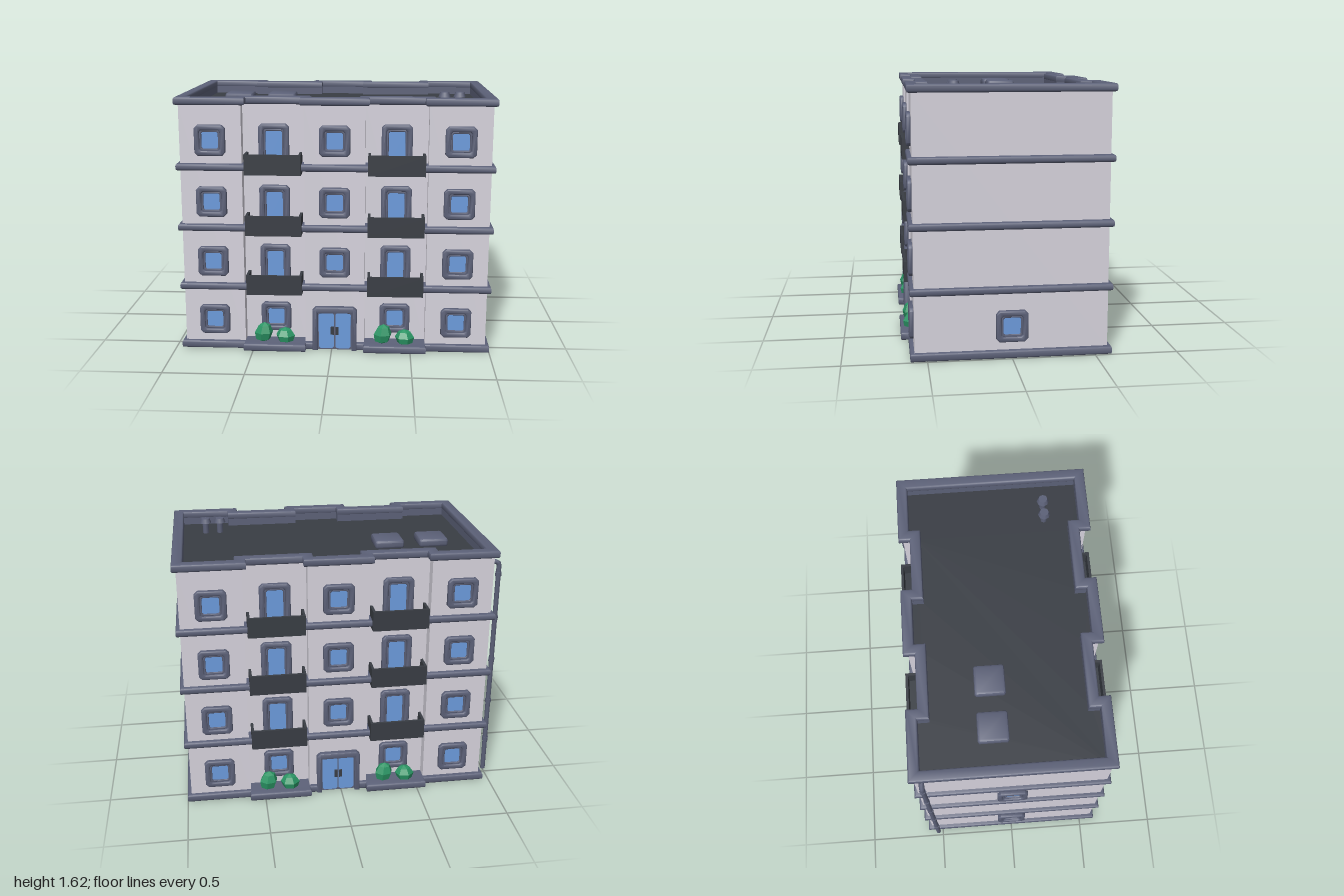
import * as THREE from 'three';
import { toCreasedNormals } from 'three/addons/utils/BufferGeometryUtils.js';

const material = (name, color) => Object.assign(new THREE.MeshStandardMaterial({ color }), { name });
const WALL = material('plaster', 0xd6d3dd);
const TRIM = material('slate trim', 0x5c6178);
const DARK = material('dark metal', 0x393d44);
const GLASS = material('blue glass', 0x6c9bdc);
const LEAF = material('leaf green', 0x2a9464);

const BAY = 0.38;                       // distance of the balcony bays from the middle
const FLOORS = [0.195, 0.58, 0.963, 1.347];  // window centres

function add(parent, name, geometry, mat, x = 0, y = 0, z = 0) {
  const mesh = new THREE.Mesh(geometry, mat);
  mesh.name = name;
  mesh.position.set(x, y, z);
  parent.add(mesh);
  return mesh;
}

const box = (w, h, d) => new THREE.BoxGeometry(w, h, d);

// Bevelled extrusion that keeps the given outline as its outer size
function extrude(points, hole, depth, bevel = 0) {
  const shape = new THREE.Shape(points);
  if (hole) shape.holes.push(new THREE.Path(hole));
  const geo = new THREE.ExtrudeGeometry(shape, {
    depth: depth - 2 * bevel, bevelEnabled: bevel > 0,
    bevelSize: bevel, bevelThickness: bevel, bevelOffset: -bevel, bevelSegments: 2,
  });
  geo.translate(0, 0, bevel);
  return toCreasedNormals(geo, 0.85);
}

// Same, laid flat so that the depth runs up
const slab = (points, hole, height, bevel) => extrude(points, hole, height, bevel).rotateX(-Math.PI / 2);

// Floor plan: a rectangle whose long sides step in or out; steps = [centre, halfWidth, z]
function plan(halfX, halfZ, steps) {
  const side = [new THREE.Vector2(-halfX, -halfZ)];
  for (const [c, w, z] of steps) {
    side.push(new THREE.Vector2(c - w, -halfZ), new THREE.Vector2(c - w, -z),
      new THREE.Vector2(c + w, -z), new THREE.Vector2(c + w, -halfZ));
  }
  side.push(new THREE.Vector2(halfX, -halfZ));
  return [...side, ...side.map(p => p.clone().negate())];
}

// Building outline with recessed bays, grown by an offset
const outline = o => plan(0.955 + o, 0.575 + o,
  [-BAY, BAY].map(c => [c, 0.1925 - o, 0.505 + o]));

// Rectangle with cut corners
function chamfered(w, h, c) {
  const a = w / 2, b = h / 2;
  return [[-a + c, -b], [a - c, -b], [a, -b + c], [a, b - c], [a - c, b], [-a + c, b], [-a, b - c], [-a, -b + c]]
    .map(p => new THREE.Vector2(...p));
}

// Framed window facing +z
function makeWindow(name, w, h) {
  const g = new THREE.Group();
  g.name = name;
  add(g, 'outerFrame', extrude(chamfered(w, h, 0.02), chamfered(w - 0.065, h - 0.065, 0.01), 0.035, 0.009), TRIM, 0, 0, -0.009);
  add(g, 'innerFrame', extrude(chamfered(w - 0.06, h - 0.06, 0.008), chamfered(w - 0.088, h - 0.088, 0.008), 0.02, 0.004), TRIM, 0, 0, -0.007);
  add(g, 'glass', box(w - 0.075, h - 0.075, 0.008), GLASS);
  return g;
}

function makeBalcony() {
  const g = new THREE.Group();
  g.name = 'balcony';
  add(g, 'balconyFloor', box(0.35, 0.025, 0.125), DARK, 0, 0.0125, 0.5575);
  add(g, 'balconyFront', box(0.35, 0.127, 0.016), DARK, 0, 0.0635, 0.612);
  for (const s of [-1, 1]) add(g, 'balconySide', box(0.016, 0.127, 0.115), DARK, s * 0.167, 0.0635, 0.5575);
  return g;
}

function makeDoor() {
  const g = new THREE.Group();
  g.name = 'entrance';
  const arch = [[-0.14, 0], [-0.108, 0], [-0.108, 0.25], [0.108, 0.25], [0.108, 0], [0.14, 0],
    [0.14, 0.268], [0.118, 0.29], [-0.118, 0.29], [-0.14, 0.268]].map(p => new THREE.Vector2(...p));
  add(g, 'doorFrame', extrude(arch, null, 0.055, 0.008), TRIM, 0, 0, 0.555);
  add(g, 'doorBacking', box(0.22, 0.26, 0.02), TRIM, 0, 0.13, 0.57);
  for (const s of [-1, 1]) {
    add(g, 'doorGlass', extrude(chamfered(0.098, 0.235, 0.012), null, 0.006), GLASS, s * 0.053, 0.127, 0.58);
    add(g, 'doorHandle', box(0.02, 0.05, 0.014), DARK, s * 0.015, 0.13, 0.59);
  }
  return g;
}

// Faceted shrub that is wider near its foot
function makeBush(w, h, turn) {
  const geo = new THREE.SphereGeometry(0.5, 6, 4).toNonIndexed();
  const p = geo.attributes.position;
  for (let i = 0; i < p.count; i++) {
    const y = p.getY(i), k = 1.08 - 0.3 * y;
    p.setXYZ(i, p.getX(i) * k + 0.12 * y, y, p.getZ(i) * k);
  }
  geo.rotateY(turn).scale(w, h, w * 0.85);
  geo.computeVertexNormals();
  return geo;
}

// Everything on one long side, facing +z
function makeFacade(name) {
  const g = new THREE.Group();
  g.name = name;
  FLOORS.forEach((y, i) => {
    for (const x of [-0.765, 0, 0.765]) {
      if (x === 0 && i === 0) continue;
      const win = makeWindow('window', 0.19, 0.19);
      win.position.set(x, y, 0.575);
      g.add(win);
    }
    for (const x of [-BAY, BAY]) {
      const h = i ? 0.3 : 0.19;
      const win = makeWindow(i ? 'balconyDoor' : 'bayWindow', 0.19, h);
      win.position.set(x, y + 0.095 - h / 2, 0.505);
      g.add(win);
      if (i) {
        const balcony = makeBalcony();
        balcony.position.set(x, y - 0.209, 0);
        g.add(balcony);
      }
    }
  });
  g.add(makeDoor());
  for (const x of [-BAY, BAY]) {
    add(g, 'tallBush', makeBush(0.11, 0.13, 0.3), LEAF, x - 0.075, 0.11, 0.578);
    add(g, 'lowBush', makeBush(0.115, 0.1, 1.9), LEAF, x + 0.065, 0.092, 0.578);
  }
  return g;
}

function makeDrainpipe() {
  const g = new THREE.Group();
  g.name = 'drainpipe';
  const path = new THREE.CurvePath();
  const v = (x, y) => new THREE.Vector3(x, y, -0.53);
  path.add(new THREE.LineCurve3(v(-1, 0.05), v(-1, 1.49)));
  path.add(new THREE.QuadraticBezierCurve3(v(-1, 1.49), v(-1, 1.52), v(-0.975, 1.52)));
  path.add(new THREE.LineCurve3(v(-0.975, 1.52), v(-0.94, 1.52)));
  add(g, 'pipe', new THREE.TubeGeometry(path, 80, 0.016, 8), TRIM);
  for (const y of [0.28, 0.565, 0.86, 1.15, 1.44])
    add(g, 'pipeCollar', new THREE.CylinderGeometry(0.02, 0.02, 0.025, 8), TRIM, -1, y, -0.53);
  return g;
}

export function createModel() {
  const model = new THREE.Group();
  model.name = 'apartmentBlock';
  const body = new THREE.Group();
  body.name = 'building';
  body.position.x = 0.02;
  model.add(body);

  // Shell, plinth with planters, floor bands and roof edge
  const plinth = plan(0.98, 0.6, [[-BAY, 0.198, 0.645], [0, 0.125, 0.565], [BAY, 0.198, 0.645]]);
  add(body, 'plinth', slab(plinth, null, 0.05, 0.012), TRIM);
  add(body, 'walls', slab(outline(0), outline(-0.02), 1.53), WALL, 0, 0.035, 0);
  for (const y of [0.392, 0.775, 1.158])
    add(body, 'floorBand', slab(outline(0.025), null, 0.045, 0.014), TRIM, 0, y, 0);
  add(body, 'roof', slab(outline(-0.015), null, 0.03), DARK, 0, 1.493, 0);
  add(body, 'parapetLining', slab(outline(-0.018), outline(-0.04), 0.07), TRIM, 0, 1.515, 0);
  add(body, 'parapet', slab(outline(0.025), outline(-0.042), 0.048, 0.012), TRIM, 0, 1.563, 0);

  // Long sides
  body.add(makeFacade('frontFacade'));
  const back = makeFacade('backFacade');
  back.rotation.y = Math.PI;
  body.add(back);

  // End windows
  for (const [s, y] of [[1, FLOORS[0]], [-1, FLOORS[0]], [-1, FLOORS[2]]]) {
    const win = makeWindow('endWindow', 0.19, 0.19);
    win.position.set(s * 0.955, y, 0);
    win.rotation.y = s * Math.PI / 2;
    body.add(win);
  }

  body.add(makeDrainpipe());

  // Roof fittings
  for (const x of [-0.675, -0.388])
    add(body, 'roofHatch', slab(chamfered(0.185, 0.185, 0.01), null, 0.06, 0.018), TRIM, x, 1.515, -0.1);
  for (const x of [0.674, 0.768]) {
    add(body, 'ventPipe', new THREE.CylinderGeometry(0.02, 0.02, 0.08, 8), TRIM, x, 1.56, 0.32);
    add(body, 'ventCap', new THREE.CylinderGeometry(0.028, 0.038, 0.03, 8), TRIM, x, 1.607, 0.32);
  }
  return model;
}
